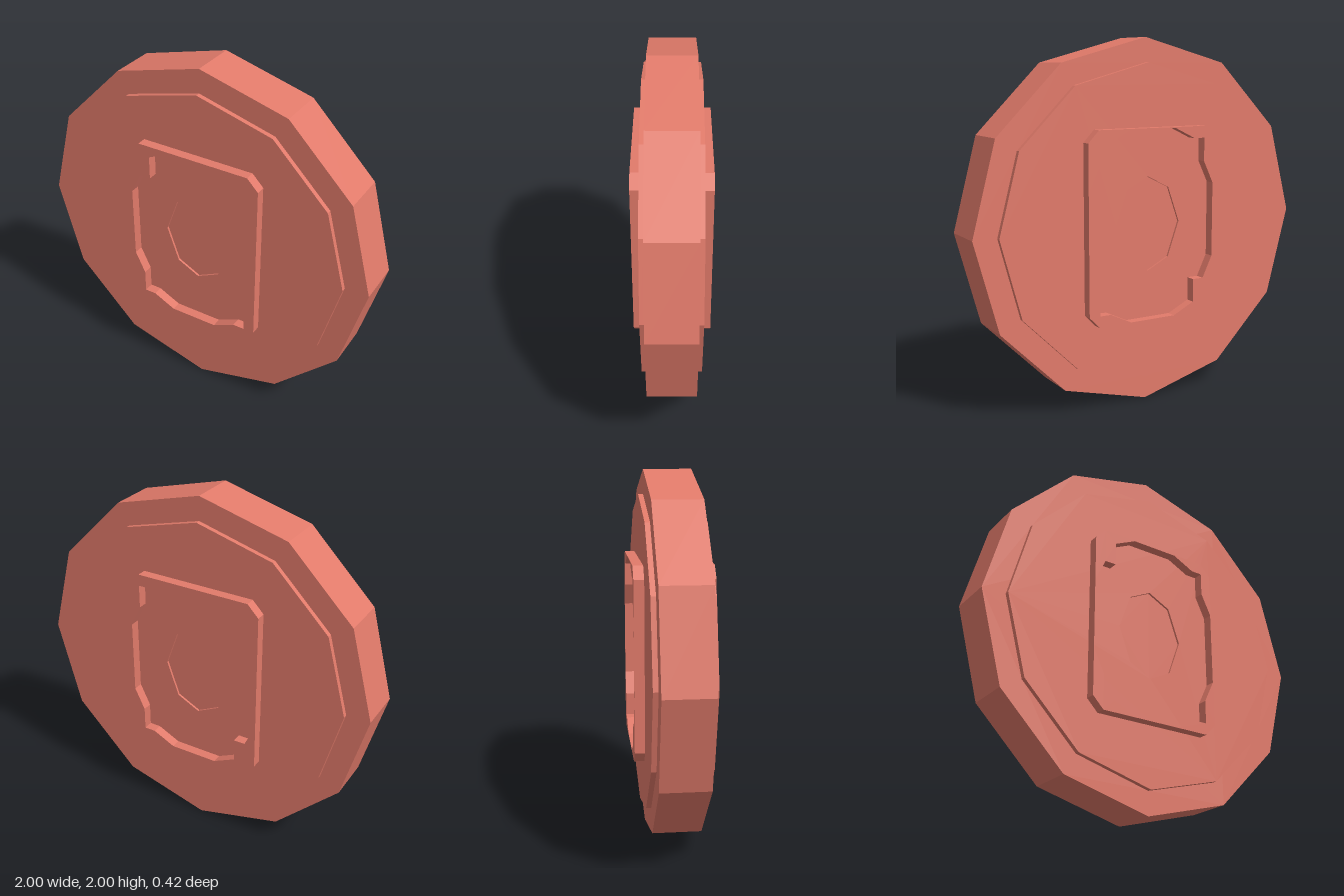
import * as THREE from 'three';

const material = new THREE.MeshStandardMaterial({ color: 0xe17a6a, flatShading: true });

const EDGE = 0.13;   // half thickness of the rim
const FACE = 0.157;  // height of the raised face
const TOP = 0.212;   // height of the emblem frame

function toShape(points) {
  return new THREE.Shape(points.map(([x, y]) => new THREE.Vector2(x, y)));
}

function polygon(sides, radius) {
  return Array.from({ length: sides }, (_, i) => {
    const a = (i / sides) * Math.PI * 2;
    return [Math.cos(a) * radius, Math.sin(a) * radius];
  });
}

// Slab of a shape between two heights
function slab(name, shape, z0, z1) {
  const geometry = new THREE.ExtrudeGeometry(shape, { depth: z1 - z0, bevelEnabled: false });
  geometry.translate(0, 0, z0);
  const mesh = new THREE.Mesh(geometry, material);
  mesh.name = name;
  return mesh;
}

// One decorated side: raised face, central recess and emblem frame
function createFace(name) {
  const side = new THREE.Group();
  side.name = name;

  // Raised face with an oval eight-sided recess
  const dish = [[0.2, 0], [0.13, 0.195], [0, 0.26], [-0.13, 0.195],
    [-0.2, 0], [-0.13, -0.195], [0, -0.26], [0.13, -0.195]];
  const face = toShape(polygon(12, 0.868));
  face.holes.push(toShape(dish));
  side.add(slab('raisedFace', face, EDGE, FACE));
  side.add(slab('recessFloor', toShape(dish), EDGE, FACE - 0.012));

  // Frame corners; the upper left one is filled further inward
  const outer = [[0.13, 0.525], [0.33, 0.525], [0.393, 0.46], [0.393, 0.2], [0.33, 0.33]];
  const open = [[0.33, 0.46], [0.265, 0.46]];
  const filled = [[0.265, 0.33], [0.265, 0.46]];
  for (const sx of [-1, 1]) {
    for (const sy of [-1, 1]) {
      const inner = sx < 0 && sy > 0 ? filled : open;
      const corner = [...outer, ...inner].map(([x, y]) => [x * sx, y * sy]);
      side.add(slab('frameCorner', toShape(corner), FACE - 0.005, TOP));
    }
  }

  // Thin walls joining the corners
  const height = TOP - FACE + 0.005;
  const thin = 0.004;
  for (const s of [-1, 1]) {
    const across = new THREE.Mesh(new THREE.BoxGeometry(0.28, thin, height), material);
    across.position.set(0, s * (0.525 - thin / 2), TOP - height / 2);
    const upright = new THREE.Mesh(new THREE.BoxGeometry(thin, 0.42, height), material);
    upright.position.set(s * (0.393 - thin / 2), 0, TOP - height / 2);
    across.name = upright.name = 'frameWall';
    side.add(across, upright);
  }
  return side;
}

export function createModel() {
  const model = new THREE.Group();
  model.name = 'coin';

  // Twelve-sided rim disc
  model.add(slab('rim', toShape(polygon(12, 1)), -EDGE, EDGE));

  // The back is the front turned over about the x axis
  const back = createFace('backFace');
  back.rotation.x = Math.PI;
  model.add(createFace('frontFace'), back);

  model.children.forEach((part) => { part.position.y = 1; });
  return model;
}
